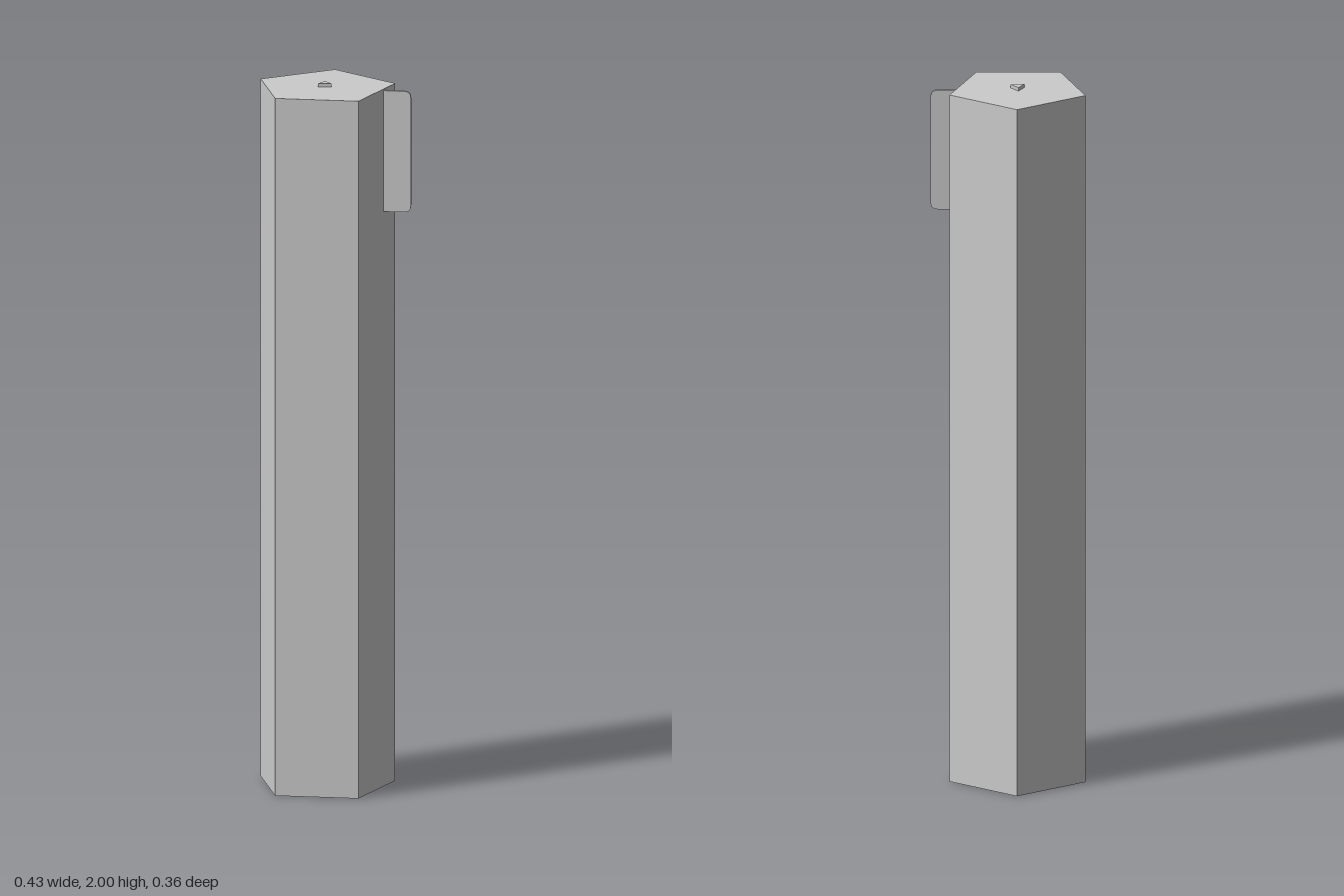
import * as THREE from 'three';

export function createModel() {
  const model = new THREE.Group();
  const flat = new THREE.MeshStandardMaterial({ color: 0xcccccc, flatShading: true, side: THREE.DoubleSide });
  const smooth = new THREE.MeshStandardMaterial({ color: 0xcccccc, side: THREE.DoubleSide });
  const axisX = -0.027, axisZ = 0.018, top = 1.99;

  const add = (name, geometry, material, x, y, z) => {
    const mesh = new THREE.Mesh(geometry, material);
    mesh.name = name;
    mesh.position.set(x, y, z);
    model.add(mesh);
    return mesh;
  };
  const profile = (pairs) => pairs.map(([r, y]) => new THREE.Vector2(r, y));

  // Five-sided thin shell, closed on top and open below
  add('barrel', new THREE.LatheGeometry(profile([[0.198, 0], [0.198, top], [0, top]]), 5, Math.PI),
    flat, axisX, 0, axisZ);

  // Round inner tube along the axis, with a recessed lower end
  const tube = [[0, 0.03], [0.03, 0.03], [0.03, 0.002], [0.043, 0.002], [0.043, top - 0.01]];
  for (let i = 0; i < tube.length - 1; i++) {
    add('innerTube', new THREE.LatheGeometry(profile([tube[i], tube[i + 1]]), 24), smooth, axisX, 0, axisZ);
  }

  // Tiny three-sided stud on the top
  const stud = add('topStud', new THREE.CylinderGeometry(0.022, 0.022, 0.02, 3), flat, axisX, top, axisZ);
  stud.rotation.y = THREE.MathUtils.degToRad(-54);

  // Thin clip plate with rounded outer corners
  const x0 = 0.137, x1 = 0.215, y0 = 1.64, y1 = 1.985, r = 0.02;
  const plate = new THREE.Shape();
  plate.moveTo(x0, y0);
  plate.lineTo(x1 - r, y0);
  plate.quadraticCurveTo(x1, y0, x1, y0 + r);
  plate.lineTo(x1, y1 - r);
  plate.quadraticCurveTo(x1, y1, x1 - r, y1);
  plate.lineTo(x0, y1);
  plate.closePath();
  add('clip', new THREE.ExtrudeGeometry(plate, { depth: 0.008, bevelEnabled: false, curveSegments: 5 }),
    flat, 0, 0, 0.018);

  return model;
}
